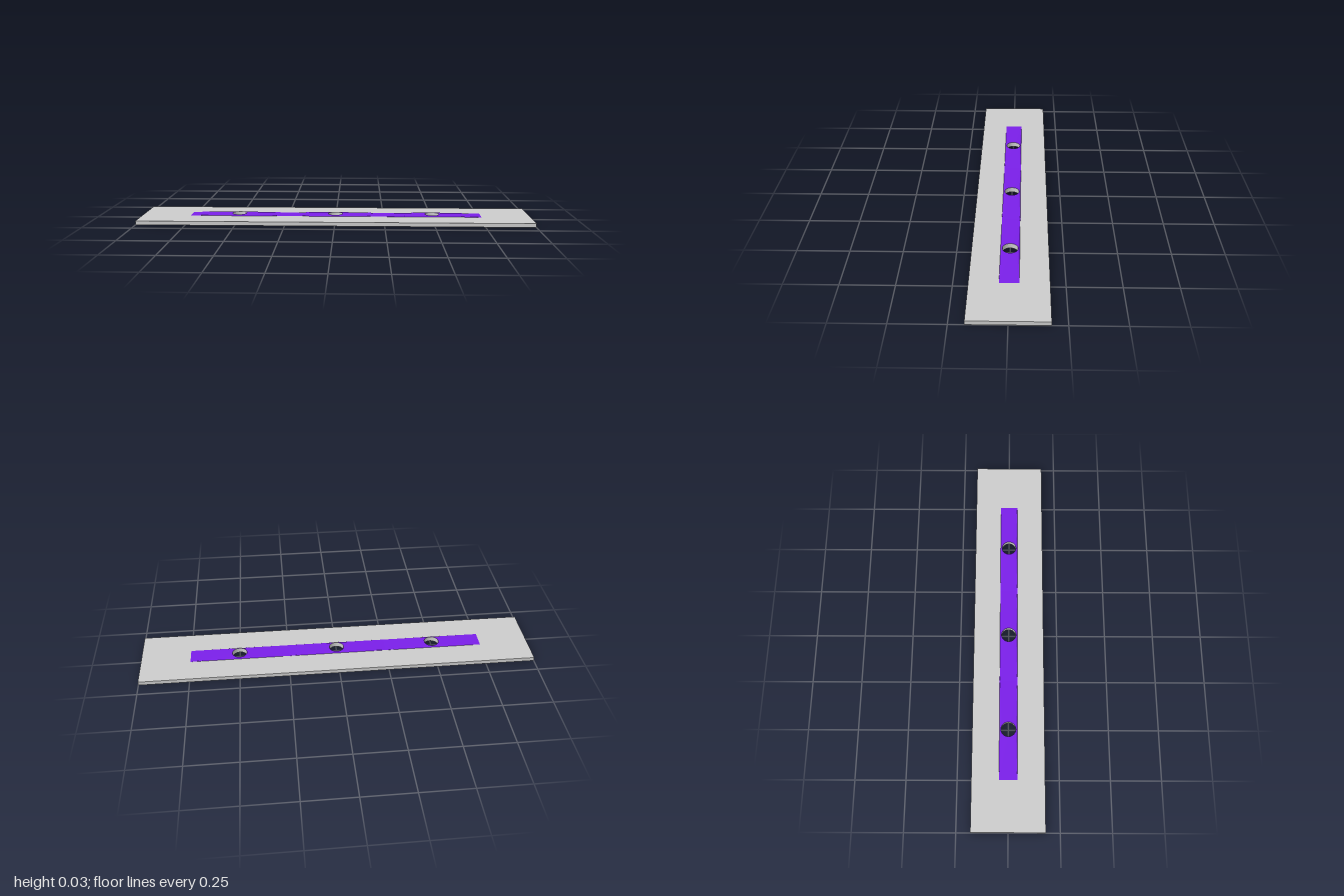
import * as THREE from 'three';

const PLATE_H = 0.02, TOP_H = 0.026, HOLE_R = 0.037, SEGS = 48;
const HOLES = [-0.5, 0, 0.5];

// Shallow raised panel: a rectangle lofted up to a round hole rim
function makePanelGeometry(halfX, halfZ) {
  const rim = (i) => {
    const a = (i / SEGS) * Math.PI * 2;
    return [HOLE_R * Math.cos(a), TOP_H, HOLE_R * Math.sin(a)];
  };
  const corner = (q) => {
    const a = (q + 0.5) * Math.PI / 2;
    return [halfX * Math.sign(Math.cos(a)), PLATE_H + 0.0002, halfZ * Math.sign(Math.sin(a))];
  };
  const pos = [];
  const per = SEGS / 4;
  for (let q = 0; q < 4; q++) {
    // side facet, then the fan around the corner
    pos.push(...rim(q * per), ...corner(q), ...corner(q + 3));
    for (let i = q * per; i < (q + 1) * per; i++) pos.push(...rim(i), ...rim(i + 1), ...corner(q));
  }
  const g = new THREE.BufferGeometry();
  g.setAttribute('position', new THREE.Float32BufferAttribute(pos, 3));
  g.computeVertexNormals();
  return g;
}

export function createModel() {
  const group = new THREE.Group();
  const grey = new THREE.MeshStandardMaterial({ color: 0xcccccc });
  const greyOpen = new THREE.MeshStandardMaterial({ color: 0xcccccc, side: THREE.DoubleSide });
  const purple = new THREE.MeshStandardMaterial({ color: 0x7a1fe8, flatShading: true, side: THREE.DoubleSide });

  // Flat plate with three round through-holes
  const shape = new THREE.Shape([
    new THREE.Vector2(-1, -0.18), new THREE.Vector2(1, -0.18),
    new THREE.Vector2(1, 0.18), new THREE.Vector2(-1, 0.18),
  ]);
  for (const x of HOLES) {
    shape.holes.push(new THREE.Path().absarc(x, 0, HOLE_R, 0, Math.PI * 2, true));
  }
  const plateGeo = new THREE.ExtrudeGeometry(shape, { depth: PLATE_H, bevelEnabled: false, curveSegments: SEGS });
  plateGeo.rotateX(-Math.PI / 2);
  const plate = new THREE.Mesh(plateGeo, grey);
  plate.name = 'plate';
  group.add(plate);

  // Coloured strip panels and the hole walls rising to their rims
  const panelGeo = makePanelGeometry(0.25, 0.045);
  const lipH = TOP_H - PLATE_H;
  const lipGeo = new THREE.CylinderGeometry(HOLE_R, HOLE_R, lipH, SEGS, 1, true);
  for (const x of HOLES) {
    const panel = new THREE.Mesh(panelGeo, purple);
    panel.name = 'stripPanel';
    panel.position.x = x;
    const lip = new THREE.Mesh(lipGeo, greyOpen);
    lip.name = 'holeLip';
    lip.position.set(x, PLATE_H + lipH / 2, 0);
    group.add(panel, lip);
  }
  return group;
}
